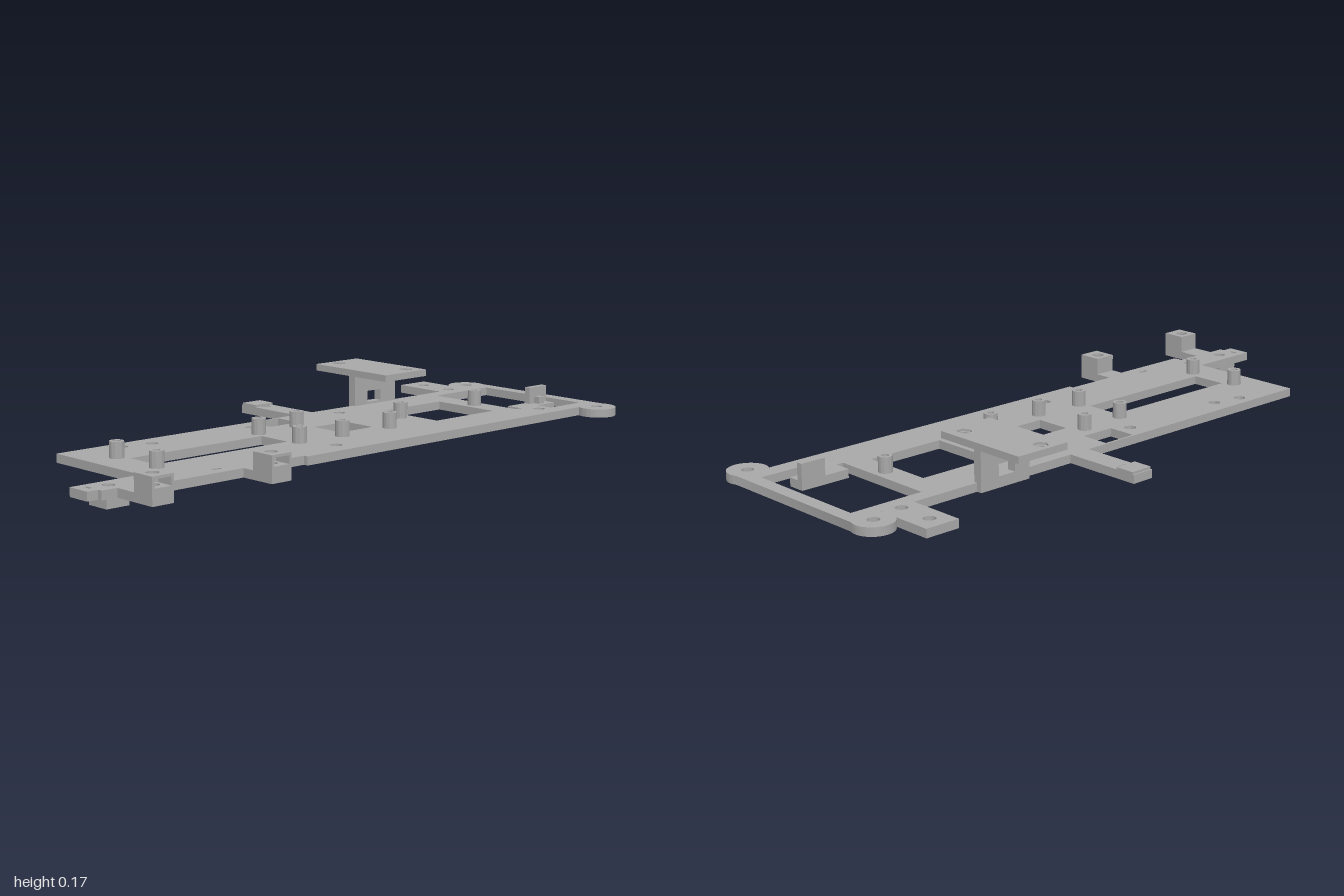
import * as THREE from 'three';
import { toCreasedNormals } from 'three/addons/utils/BufferGeometryUtils.js';

const Y0 = 0.027, Y1 = 0.053; // underside and top of the base plate

export function createModel() {
  const model = new THREE.Group();
  const grey = new THREE.MeshStandardMaterial({ color: 0xa8a8a8 });
  grey.name = 'plastic grey';

  // Closed outlines in plan (x, z)
  const poly = (pts, C = THREE.Path) => {
    const p = new C();
    pts.forEach(([x, z], i) => (i ? p.lineTo(x, z) : p.moveTo(x, z)));
    p.closePath();
    return p;
  };
  const rect = (x0, x1, z0, z1, C) => poly([[x0, z0], [x1, z0], [x1, z1], [x0, z1]], C);
  const round = (x, z, r, C = THREE.Path) => new C().absarc(x, z, r, 0, Math.PI * 2, false);
  const hexagon = (x, z, r, C) => poly(Array.from({ length: 6 }, (_, i) =>
    [x + r * Math.cos(i * Math.PI / 3), z + r * Math.sin(i * Math.PI / 3)]), C);

  // Extrude a plan shape with holes between two heights
  const slab = (name, shape, holes, y0, y1, parent = model) => {
    shape.holes.push(...holes);
    const g = new THREE.ExtrudeGeometry(shape, { depth: y1 - y0, bevelEnabled: false, curveSegments: 20 });
    g.rotateX(Math.PI / 2).translate(0, y1, 0);
    const mesh = new THREE.Mesh(toCreasedNormals(g, 0.6), grey);
    mesh.name = name;
    parent.add(mesh);
    return mesh;
  };
  const box = (name, x0, x1, y0, y1, z0, z1, parent = model) => {
    const mesh = new THREE.Mesh(new THREE.BoxGeometry(x1 - x0, y1 - y0, z1 - z0), grey);
    mesh.position.set((x0 + x1) / 2, (y0 + y1) / 2, (z0 + z1) / 2);
    mesh.name = name;
    parent.add(mesh);
  };

  const standoffs = [[-0.68, -0.023], [-0.68, 0.155], [-0.16, -0.023], [-0.16, 0.155], [0, -0.035],
    [0, 0.165], [0.195, 0.165], [0.34, 0.066], [0.674, 0.066]];
  const clampX = [-0.88, -0.479];
  const nutX = [-0.91, -0.762];

  // Base plate outline, with arms, tabs and two round ears
  const plate = new THREE.Shape();
  plate.moveTo(-0.77, -0.183);
  const to = (pts) => pts.forEach(([x, z]) => plate.lineTo(x, z));
  to([[0.128, -0.183], [0.128, -0.435], [0.2, -0.435], [0.2, -0.183], [0.777, -0.183],
    [0.777, -0.365], [0.887, -0.365], [0.887, -0.18], [0.891, -0.18]]);
  plate.absarc(0.94, -0.215, 0.06, 2.52, Math.PI * 2 + 0.41, false);
  plate.absarc(0.94, 0.347, 0.06, -0.41, 3.61, false);
  to([[-0.28, 0.32], [-0.28, 0.305], [-0.444, 0.305], [-0.444, 0.435], [-0.514, 0.435], [-0.514, 0.32],
    [-0.77, 0.32], [-0.77, 0.29], [-0.845, 0.29], [-0.845, 0.435], [-0.915, 0.435], [-0.915, 0.29],
    [-0.965, 0.29], [-0.965, 0.275], [-1, 0.275], [-1, 0.2], [-0.77, 0.2]]);
  plate.closePath();

  const screwHoles = [[-0.575, -0.14], [-0.48, -0.12], [-0.107, -0.12], [0.257, -0.12], [-0.107, 0.253],
    [0.772, 0.253], [0.83, -0.31], [0.83, -0.195], [0.94, -0.215], [0.94, 0.347],
    ...nutX.map((x) => [x, 0.245]), ...clampX.map((x) => [x, 0.393])];
  slab('basePlate', plate, [
    ...screwHoles.map(([x, z]) => round(x, z, 0.018)),
    ...standoffs.map(([x, z]) => round(x, z, 0.011)),
    rect(-0.657, -0.177, 0.008, 0.122),
    rect(0.035, 0.165, 0.008, 0.122),
    rect(0.383, 0.635, -0.05, 0.18),
    rect(-0.06, 0.052, -0.176, -0.085),
    // right bay, cut around the sensor ledge
    poly([[0.712, -0.135], [0.952, -0.135], [0.952, 0.265], [0.815, 0.265], [0.815, 0.21],
      [0.895, 0.21], [0.895, 0.155], [0.735, 0.155], [0.735, 0.21], [0.712, 0.21]]),
    rect(-0.59, -0.56, 0.273, 0.287),
    rect(-0.973, -0.963, 0.223, 0.247),
    rect(0.15, 0.18, -0.367, -0.35),
  ], Y0, Y1);

  // Hollow standoffs
  standoffs.forEach(([x, z]) =>
    slab('standoff', round(x, z, 0.021, THREE.Shape), [round(x, z, 0.011)], Y1, 0.101));

  // Nut housings under the left arm
  nutX.forEach((x) => slab('nutHousing', rect(x - 0.037, x + 0.037, 0.21, 0.285, THREE.Shape),
    [hexagon(x, 0.245, 0.028)], 0, Y0));

  // Clamp blocks with a nut slot open to the front
  clampX.forEach((x) => {
    const g = new THREE.Group();
    g.name = 'clampBlock';
    model.add(g);
    const l = x - 0.035, r = x + 0.035;
    slab('clampBase', rect(l, r, 0.36, 0.435, THREE.Shape), [round(x, 0.393, 0.018)], Y1, 0.073, g);
    slab('clampSlot', poly([[l, 0.36], [r, 0.36], [r, 0.435], [x + 0.028, 0.435], [x + 0.028, 0.38],
      [x + 0.015, 0.366], [x - 0.015, 0.366], [x - 0.028, 0.38], [x - 0.028, 0.435], [l, 0.435]],
    THREE.Shape), [], 0.073, 0.097, g);
    slab('clampTop', rect(l, r, 0.36, 0.435, THREE.Shape), [round(x, 0.393, 0.018)], 0.097, 0.105, g);
  });

  // Raised pad at the tip of the rear arm
  box('armPad', 0.128, 0.2, Y1, 0.06, -0.43, -0.368);

  // T-shaped rear bracket: leg with a window, and a table with two screw seats
  const bracket = new THREE.Group();
  bracket.name = 'rearBracket';
  model.add(bracket);
  box('legLeft', 0.375, 0.43, Y0, 0.147, -0.2, -0.172, bracket);
  box('legRight', 0.49, 0.555, Y0, 0.147, -0.2, -0.172, bracket);
  box('legTop', 0.43, 0.49, 0.096, 0.147, -0.2, -0.172, bracket);
  box('legSill', 0.43, 0.49, Y0, 0.06, -0.2, -0.172, bracket);
  const seats = [[0.44, -0.315], [0.51, -0.08]];
  slab('bracketTable', rect(0.375, 0.555, -0.352, -0.034, THREE.Shape),
    seats.map(([x, z]) => hexagon(x, z, 0.023)), 0.147, 0.168, bracket);
  seats.forEach(([x, z]) =>
    slab('screwSeat', hexagon(x, z, 0.023, THREE.Shape), [round(x, z, 0.013)], 0.147, 0.161, bracket));

  // Upright sensor tab with its small rib
  box('sensorTab', 0.815, 0.895, Y1, 0.105, 0.155, 0.175);
  box('sensorRib', 0.838, 0.862, Y1, 0.075, 0.175, 0.195);

  return model;
}
